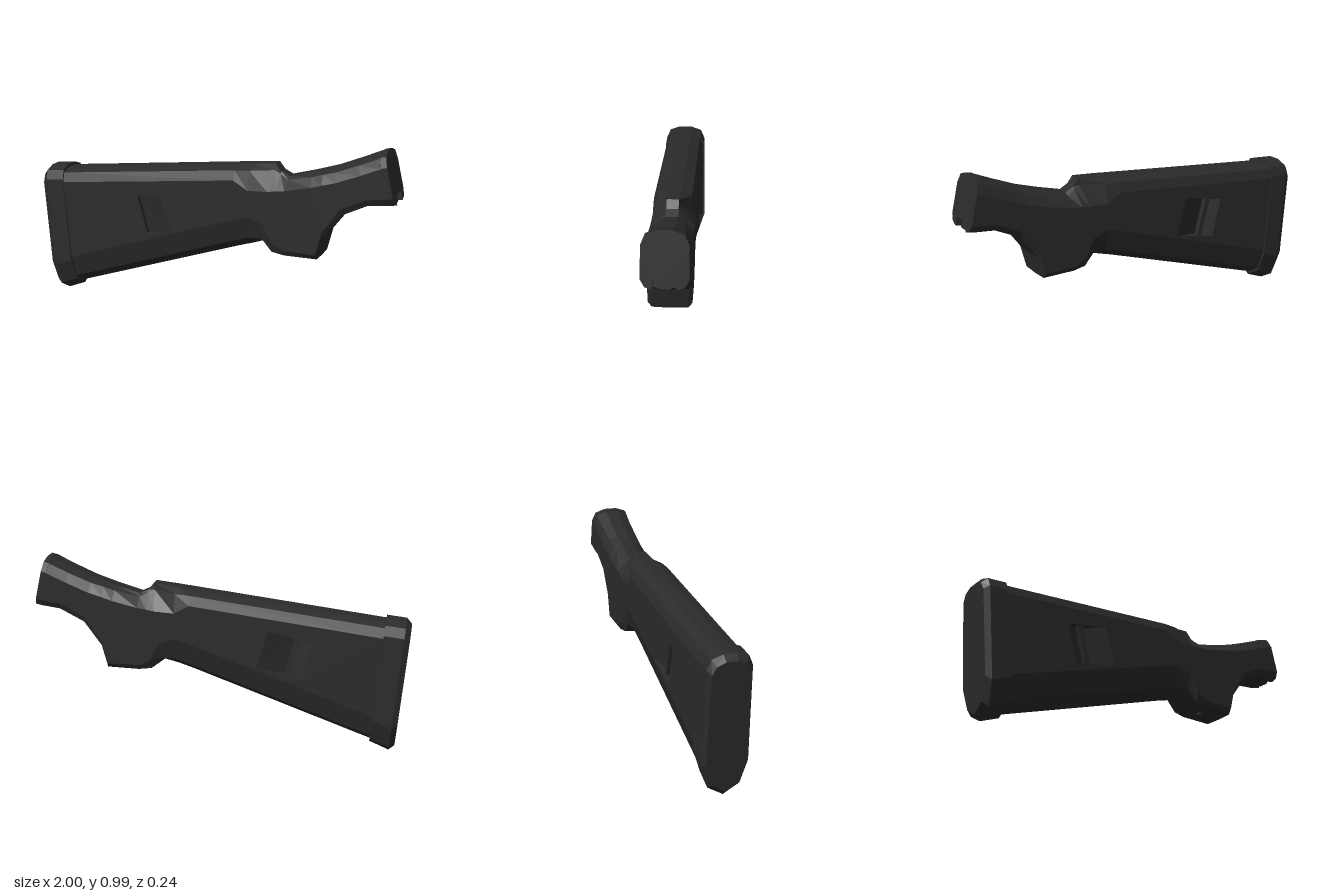
import * as THREE from 'three';

const polymer = new THREE.MeshStandardMaterial({ color: 0x2b2b2b });
polymer.name = 'black polymer';

// Cross-section ring between a top and a bottom point; chamfers are [half width, drop or rise]
function section(top, bottom, topHalf, shoulder, sideTop, sideLow, keelEdge) {
  const t = new THREE.Vector2(...top), b = new THREE.Vector2(...bottom);
  const along = b.clone().sub(t).normalize();
  const at = (origin, dist, z) => new THREE.Vector3(origin.x + along.x * dist, origin.y + along.y * dist, z);
  const half = [
    at(t, 0, topHalf), at(t, shoulder[1], shoulder[0]), at(t, sideTop[1], sideTop[0]),
    at(b, -sideLow[1], sideLow[0]), at(b, -keelEdge[1], keelEdge[0]),
  ];
  const mirrored = half.map(p => new THREE.Vector3(p.x, p.y, -p.z)).reverse();
  return [...half, at(b, 0, 0), ...mirrored];
}

function faceted(triangles) {
  const geometry = new THREE.BufferGeometry().setFromPoints(triangles);
  geometry.computeVertexNormals();
  return geometry;
}

// Faceted skin through the rings, closed at both ends
function loft(rings, skip = () => false) {
  const tris = [], n = rings[0].length;
  for (let i = 0; i < rings.length - 1; i++) {
    for (let j = 0; j < n; j++) {
      if (skip(i, j)) continue;
      const k = (j + 1) % n;
      const a = rings[i][j], b = rings[i][k], c = rings[i + 1][k], d = rings[i + 1][j];
      tris.push(a, b, c, a, c, d);
    }
  }
  const first = rings[0], last = rings[rings.length - 1];
  for (let j = 1; j < n - 1; j++) {
    tris.push(first[0], first[j + 1], first[j], last[0], last[j], last[j + 1]);
  }
  return faceted(tris);
}

export function createModel() {
  const model = new THREE.Group();
  model.name = 'shoulderStock';
  const add = (name, geometry, parent = model) => {
    const mesh = new THREE.Mesh(geometry, polymer);
    mesh.name = name;
    parent.add(mesh);
    return mesh;
  };

  // Comb, wrist and grip
  const body = [
    section([-0.88, 0.732], [-0.83, 0.058], 0.035, [0.09, 0.02], [0.11, 0.07], [0.11, 0.17], [0.08, 0.05]),
    section([0.15, 0.847], [0.15, 0.395], 0.035, [0.09, 0.02], [0.11, 0.07], [0.11, 0.17], [0.08, 0.05]),
    section([0.23, 0.856], [0.23, 0.42], 0.035, [0.085, 0.025], [0.11, 0.125], [0.11, 0.17], [0.08, 0.05]),
    section([0.355, 0.87], [0.3, 0.445], 0.03, [0.036, 0.035], [0.11, 0.135], [0.11, 0.115], [0.088, 0.03]),
    section([0.385, 0.832], [0.36, 0.402], 0.03, [0.04, 0.012], [0.11, 0.088], [0.11, 0.06], [0.09, 0.01]),
    section([0.43, 0.81], [0.43, 0.4], 0.03, [0.05, 0.015], [0.11, 0.06], [0.11, 0.03], [0.095, 0.003]),
    section([0.56, 0.846], [0.605, 0.4], 0.032, [0.068, 0.018], [0.11, 0.065], [0.11, 0.03], [0.09, 0.003]),
    section([0.62, 0.865], [0.635, 0.52], 0.033, [0.075, 0.018], [0.11, 0.066], [0.11, 0.035], [0.095, 0.005]),
    section([0.68, 0.884], [0.73, 0.645], 0.034, [0.08, 0.019], [0.11, 0.067], [0.11, 0.04], [0.095, 0.008]),
    section([0.8, 0.934], [0.865, 0.706], 0.035, [0.086, 0.02], [0.11, 0.068], [0.11, 0.045], [0.092, 0.012]),
    section([0.906, 0.981], [0.971, 0.715], 0.035, [0.09, 0.02], [0.11, 0.07], [0.11, 0.05], [0.09, 0.015]),
  ];
  add('stockBody', loft(body, (i, j) => i === 0 && (j === 2 || j === 7)));

  // Butt pad with a bevelled rear edge
  add('buttPad', loft([
    section([-1, 0.708], [-0.945, 0.03], 0.03, [0.075, 0.018], [0.098, 0.06], [0.105, 0.16], [0.066, 0.045]),
    section([-0.973, 0.738], [-0.915, 0.004], 0.035, [0.092, 0.02], [0.113, 0.07], [0.12, 0.17], [0.082, 0.05]),
    section([-0.87, 0.748], [-0.812, 0.046], 0.035, [0.092, 0.02], [0.113, 0.07], [0.12, 0.17], [0.082, 0.05]),
  ]));

  // Flat cheeks with a wedge-shaped sling recess and bar, mirrored
  const corners = [[-0.5, 0.61], [-0.27, 0.665], [-0.21, 0.455], [-0.45, 0.405]].map(p => new THREE.Vector2(...p));
  const panel = new THREE.Shape([body[0][2], body[0][3], body[1][3], body[1][2]].map(p => new THREE.Vector2(p.x, p.y)));
  panel.holes.push(new THREE.Path(corners));
  const [p0, p1, p2, p3] = corners.map(p => new THREE.Vector3(p.x, p.y, 0.11));
  const valleyTop = p0.clone().lerp(p1, 0.34).setZ(0.055);
  const valleyLow = p3.clone().lerp(p2, 0.34).setZ(0.055);
  const recess = [
    p0, p3, valleyLow, p0, valleyLow, valleyTop,
    valleyTop, valleyLow, p2, valleyTop, p2, p1,
    p0, valleyTop, p1, p3, p2, valleyLow,
  ];
  for (const side of [1, -1]) {
    const cheek = new THREE.Group();
    cheek.name = side > 0 ? 'leftCheek' : 'rightCheek';
    // A half turn would misplace x, so the far side is flipped in z and rewound
    const place = geometry => {
      const g = geometry.index ? geometry.toNonIndexed() : geometry;
      if (side < 0) {
        g.scale(1, 1, -1);
        const pos = g.attributes.position, a = new THREE.Vector3(), b = new THREE.Vector3();
        for (let i = 0; i < pos.count; i += 3) {
          a.fromBufferAttribute(pos, i + 1);
          b.fromBufferAttribute(pos, i + 2);
          pos.setXYZ(i + 1, b.x, b.y, b.z);
          pos.setXYZ(i + 2, a.x, a.y, a.z);
        }
      }
      g.computeVertexNormals();
      return g;
    };
    add('cheekPanel', place(new THREE.ShapeGeometry(panel).translate(0, 0, 0.11)), cheek);
    add('slingRecess', place(faceted(recess)), cheek);
    const bar = new THREE.BoxGeometry(0.026, 0.215, 0.026).rotateZ(0.27);
    add('slingBar', place(bar.translate(-0.395, 0.527, 0.086)), cheek);
    model.add(cheek);
  }

  // Front mounting face with a notch in its lower edge
  const normal = new THREE.Vector3(0.972, 0.234, 0).normalize();
  const up = new THREE.Vector3(-normal.y, normal.x, 0);
  const front = new THREE.Group();
  front.name = 'frontMount';
  const half = [[0.055, 0.05], [0.055, 0.004], [0.09, 0.015], [0.11, 0.05], [0.11, 0.206], [0.09, 0.256], [0.035, 0.276]];
  const outline = [...half, ...half.map(([x, y]) => [-x, y]).reverse()].map(p => new THREE.Vector2(...p));
  add('frontFace', new THREE.ExtrudeGeometry(new THREE.Shape(outline), { depth: 0.03, bevelEnabled: false }), front);
  add('mountLug', new THREE.BoxGeometry(0.056, 0.046, 0.014).translate(0, 0.027, 0.007), front);
  front.applyMatrix4(new THREE.Matrix4()
    .makeBasis(up.clone().cross(normal), up, normal)
    .setPosition(0.971, 0.715, 0));
  model.add(front);

  // Small screw under the grip
  add('gripScrew', new THREE.CylinderGeometry(0.022, 0.018, 0.02, 10).translate(0.465, 0.4, 0));

  return model;
}
